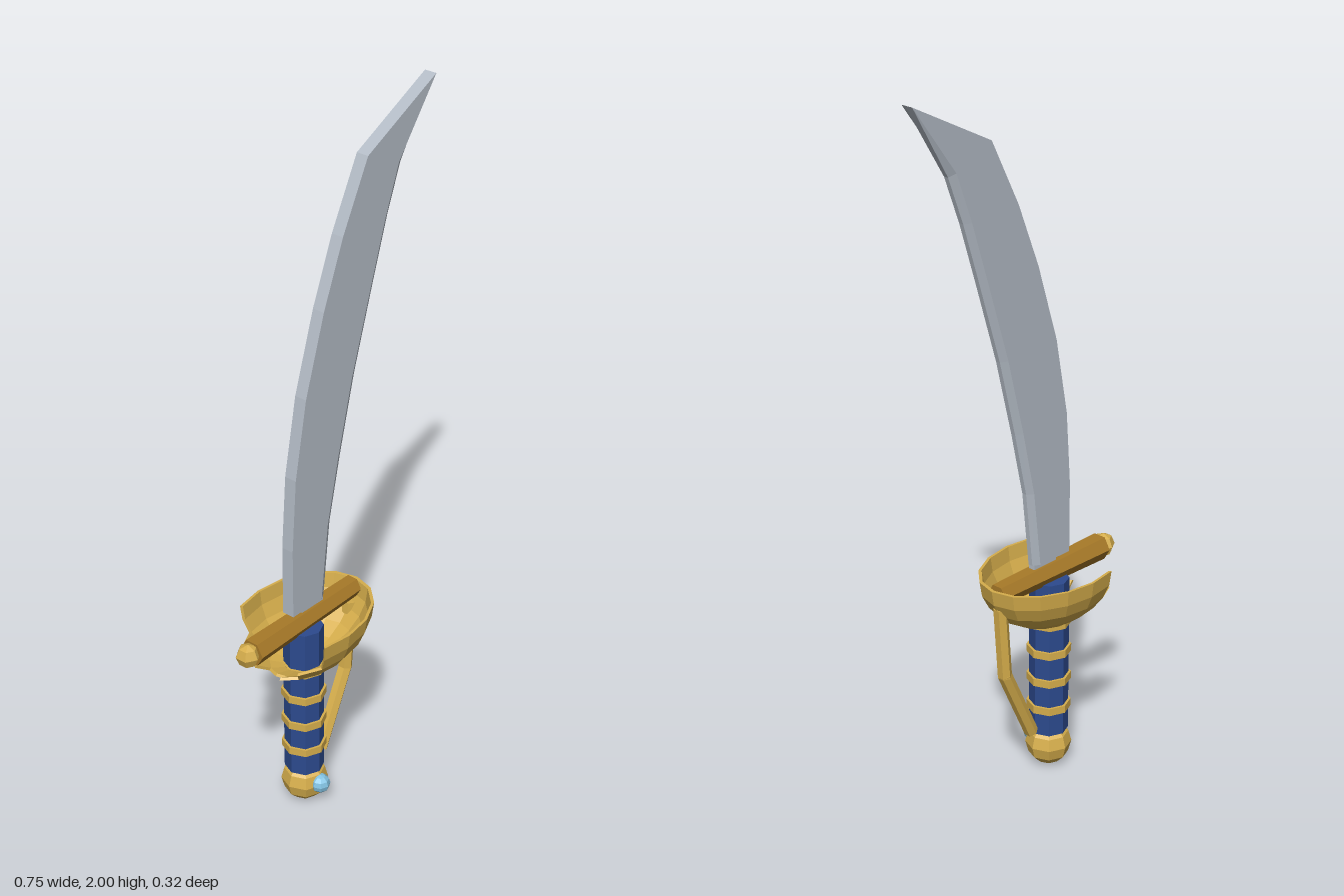
import * as THREE from 'three';

const material = (color, side = THREE.FrontSide) =>
  new THREE.MeshStandardMaterial({ color, flatShading: true, side });
const GOLD = material(0xd6ae4c);
const GOLD_SHEET = material(0xd6ae4c, THREE.DoubleSide);
const DARK_GOLD = material(0xa87a28);
const BLUE = material(0x2c4a8e);
const STEEL = material(0xb4bcc6);
const GEM = material(0x84c4e4);

const AXIS = -0.13; // x of the grip's centre line

function add(parent, name, geometry, mat, x = 0, y = 0, z = 0) {
  const mesh = new THREE.Mesh(geometry, mat);
  mesh.name = name;
  mesh.position.set(x, y, z);
  parent.add(mesh);
  return mesh;
}

// Flat geometry from a list of four-cornered faces
function fromQuads(quads) {
  const pos = [];
  for (const [a, b, c, d] of quads) pos.push(...a, ...b, ...c, ...a, ...c, ...d);
  const geometry = new THREE.BufferGeometry();
  geometry.setAttribute('position', new THREE.Float32BufferAttribute(pos, 3));
  geometry.computeVertexNormals();
  return geometry;
}

// Curved blade: a section with a bevelled cutting edge, swept through stations
function bladeGeometry() {
  const stations = [ // back x, back y, edge x, edge y, bevel width
    [-0.19, 0.645, -0.055, 0.645, 0.02],
    [-0.19, 0.85, -0.03, 0.865, 0.02],
    [-0.175, 1.06, 0.012, 1.05, 0.02],
    [-0.133, 1.28, 0.068, 1.27, 0.02],
    [-0.063, 1.5, 0.14, 1.5, 0.02],
    [0.01, 1.68, 0.195, 1.67, 0.02],
    [0.105, 1.865, 0.245, 1.8, 0.02],
    [0.37, 2, 0.37, 2, 0],
  ];
  const w = 0.018, e = 0.007;
  const rings = stations.map(([bx, by, ex, ey, bevel]) => {
    const t = bevel / (Math.hypot(ex - bx, ey - by) || 1);
    const mx = ex + (bx - ex) * t, my = ey + (by - ey) * t;
    return [[bx, by, w], [mx, my, w], [ex, ey, e], [ex, ey, -e], [mx, my, -w], [bx, by, -w]];
  });
  const quads = [];
  for (let i = 0; i < rings.length - 1; i++) {
    for (let j = 0; j < 6; j++) {
      const k = (j + 1) % 6;
      quads.push([rings[i][j], rings[i][k], rings[i + 1][k], rings[i + 1][j]]);
    }
  }
  const r = rings[0];
  quads.push([r[0], r[5], r[4], r[1]], [r[1], r[4], r[3], r[2]]);
  return fromQuads(quads);
}

// Hand guard: half an oval bowl with wall thickness, broken away in steps on -x
function guardGeometry() {
  const SEG = 16, ROWS = 5;
  const point = (i, j, s) => {
    const az = (i * Math.PI * 2) / SEG, phi = (j * Math.PI) / 12;
    return [
      AXIS + 0.225 * s * Math.cos(phi) * Math.cos(az),
      0.62 - 0.17 * s * Math.sin(phi),
      0.162 * s * Math.cos(phi) * Math.sin(az),
    ];
  };
  const kept = (i, j) => {
    const k = (i + SEG) % SEG;
    const fromFront = Math.min(k, SEG - 1 - k);
    const firstRow = fromFront < 5 ? 0 : fromFront - 3;
    return j >= firstRow && j < ROWS;
  };
  const quads = [];
  const wall = (a, b) => quads.push([point(...a, 1), point(...b, 1), point(...b, 0.955), point(...a, 0.955)]);
  for (let i = 0; i < SEG; i++) {
    for (let j = 0; j < ROWS; j++) {
      if (!kept(i, j)) continue;
      const c = [[i + 1, j + 1], [i, j + 1], [i, j], [i + 1, j]];
      quads.push(c.map((p) => point(...p, 1)));
      quads.push(c.map((p) => point(...p, 0.955)).reverse());
      if (!kept(i, j + 1)) wall(c[0], c[1]);
      if (!kept(i - 1, j)) wall(c[1], c[2]);
      if (!kept(i, j - 1)) wall(c[2], c[3]);
      if (!kept(i + 1, j)) wall(c[3], c[0]);
    }
  }
  return fromQuads(quads);
}

// Six-sided rod between two points in the plane z = 0
function rod(parent, name, [x1, y1], [x2, y2], radius) {
  const length = Math.hypot(x2 - x1, y2 - y1);
  const mesh = add(parent, name, new THREE.CylinderGeometry(radius, radius, length, 6),
    GOLD, (x1 + x2) / 2, (y1 + y2) / 2);
  mesh.rotation.z = -Math.atan2(x2 - x1, y2 - y1);
}

export function createModel() {
  const model = new THREE.Group();
  model.name = 'sabre';

  add(model, 'blade', bladeGeometry(), STEEL);
  add(model, 'tang', new THREE.BoxGeometry(0.085, 0.07, 0.02), STEEL, -0.103, 0.615);
  add(model, 'handGuard', guardGeometry(), GOLD_SHEET);

  // Tapered crossbar with a faceted end knob
  const bar = add(model, 'crossbar', new THREE.CylinderGeometry(0.031, 0.038, 0.41, 6), DARK_GOLD, -0.13, 0.602);
  bar.rotation.z = -Math.PI / 2;
  add(model, 'crossbarKnob', new THREE.SphereGeometry(0.034, 6, 4).rotateY(Math.PI / 2), GOLD, -0.35, 0.602);

  // Grip with its bands
  add(model, 'grip', new THREE.CylinderGeometry(0.055, 0.055, 0.47, 8), BLUE, AXIS, 0.345);
  for (const y of [0.19, 0.277, 0.365, 0.455]) {
    add(model, 'gripBand', new THREE.CylinderGeometry(0.062, 0.062, 0.022, 8), GOLD, AXIS, y);
  }

  // Pommel with a set jewel
  add(model, 'pommel', new THREE.SphereGeometry(0.065, 8, 6), GOLD, AXIS, 0.065);
  add(model, 'jewel', new THREE.SphereGeometry(0.028, 8, 6), GEM, AXIS, 0.07, 0.058);

  // Bent knuckle bow from the pommel up to the guard
  const bow = new THREE.Group();
  bow.name = 'knuckleBow';
  model.add(bow);
  rod(bow, 'lowerBow', [-0.06, 0.125], [0.047, 0.35], 0.02);
  rod(bow, 'upperBow', [0.045, 0.342], [0.062, 0.56], 0.02);

  return model;
}
